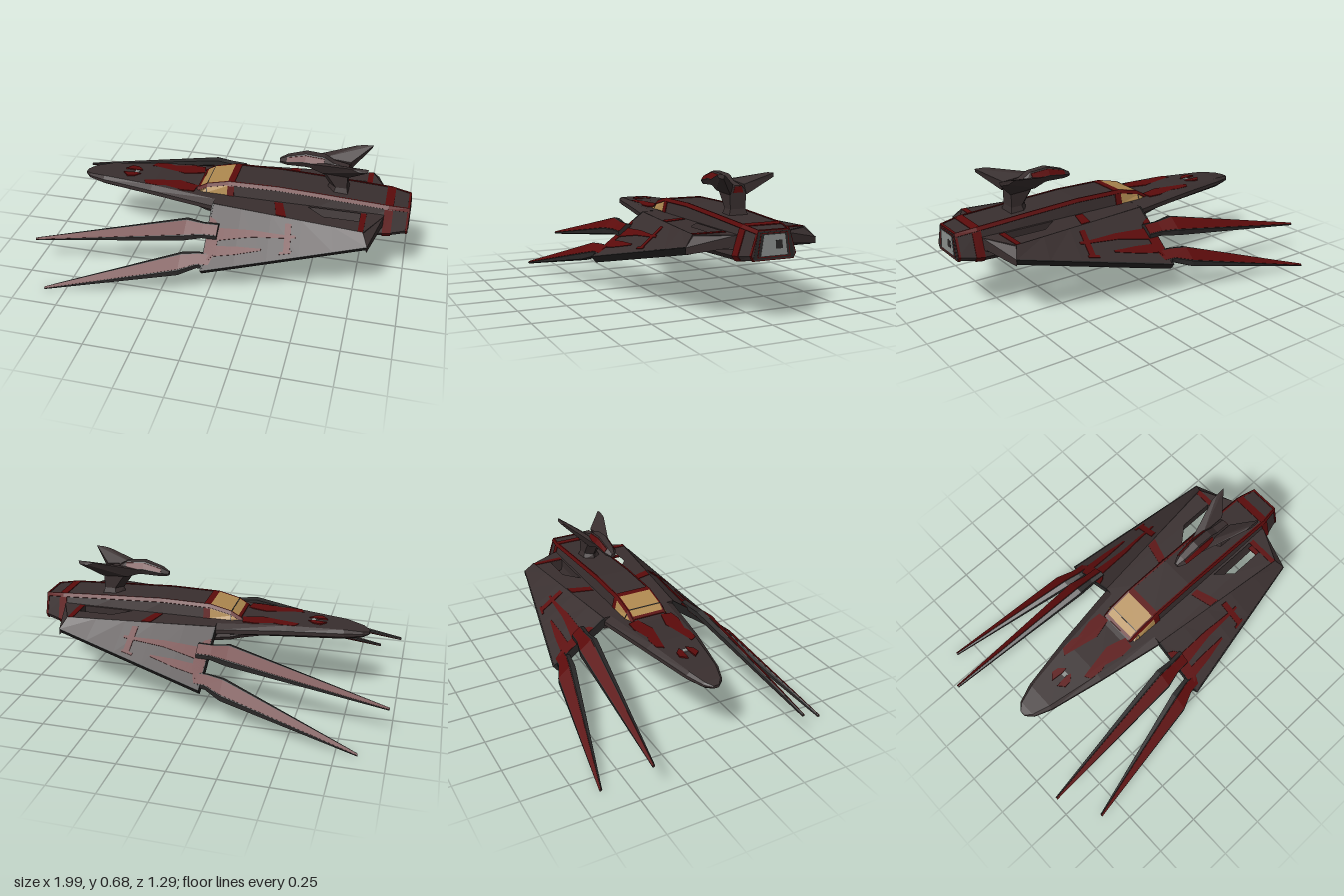
import * as THREE from 'three';

const material = (name, color) => {
  const m = new THREE.MeshStandardMaterial({ color });
  m.name = name;
  return m;
};
const lerp = (a, b, t) => a + (b - a) * t;

export function createModel() {
  const grey = material('hull brown grey', 0x392f2f);
  const dark = material('edge charcoal', 0x2a2828);
  const red = material('dark red paint', 0x5c0b0b);
  const amber = material('amber glass', 0xb08a50);
  const silver = material('engine silver', 0x8c908e);
  const ship = new THREE.Group();
  ship.name = 'ship';

  // Flat-shaded solid lofted through rings of [x, y, z], capped, turned outward
  function solid(name, mat, rings, parent = ship) {
    const tris = [], n = rings[0].length;
    for (let i = 0; i + 1 < rings.length; i++)
      for (let j = 0; j < n; j++) {
        const k = (j + 1) % n, a = rings[i], b = rings[i + 1];
        tris.push([a[j], a[k], b[k]], [a[j], b[k], b[j]]);
      }
    const first = rings[0], last = rings[rings.length - 1];
    for (let j = 1; j + 1 < n; j++)
      tris.push([first[0], first[j + 1], first[j]], [last[0], last[j], last[j + 1]]);
    let volume = 0;
    const origin = new THREE.Vector3(...first[0]);
    for (const t of tris) {
      const [a, b, c] = t.map((p) => new THREE.Vector3(...p).sub(origin));
      volume += a.dot(b.cross(c));
    }
    if (volume < 0) tris.forEach((t) => t.reverse());
    const g = new THREE.BufferGeometry();
    g.setAttribute('position', new THREE.Float32BufferAttribute(tris.flat(2), 3));
    g.computeVertexNormals();
    const mesh = new THREE.Mesh(g, mat);
    mesh.name = name;
    parent.add(mesh);
  }

  // Horizontal plate from [x, z] corners between two heights
  const plate = (name, mat, pts, y0, y1, parent) =>
    solid(name, mat, [y0, y1].map((y) => pts.map(([x, z]) => [x, y, z])), parent);

  // Ring symmetric in z from [y, z] points on one side
  const mirrored = (x, half) => [
    ...half.map(([y, z]) => [x, y, z]),
    ...half.slice().reverse().map(([y, z]) => [x, y, -z]),
  ];

  // Flat nose: [x, bottom, top, half width]
  const nose = [
    [-0.83, 0.37, 0.385, 0.018], [-0.795, 0.362, 0.395, 0.055], [-0.7, 0.355, 0.409, 0.092],
    [-0.4, 0.353, 0.42, 0.153], [-0.03, 0.345, 0.413, 0.215],
  ];
  solid('nose', grey, nose.map(([x, b, t, w]) =>
    mirrored(x, [[b, w * 0.75], [lerp(b, t, 0.35), w], [lerp(b, t, 0.7), w], [t, w * 0.8]])));

  // Wing root deck with two openings
  const deckHalf = [[-0.03, 0.215], [0.78, 0.305], [0.87, 0.13]];
  const toV = ([x, z]) => new THREE.Vector2(x, z);
  const flip = ([x, z]) => [x, -z];
  const shape = new THREE.Shape([...deckHalf, ...deckHalf.slice().reverse().map(flip)].map(toV));
  const opening = [[0.47, 0.13], [0.56, 0.205], [0.75, 0.205], [0.75, 0.13]];
  shape.holes.push(new THREE.Path(opening.map(toV)), new THREE.Path(opening.map(flip).map(toV)));
  const deckGeo = new THREE.ExtrudeGeometry(shape, { depth: 0.067, bevelEnabled: false });
  deckGeo.rotateX(Math.PI / 2).translate(0, 0.412, 0);
  const deck = new THREE.Mesh(deckGeo, grey);
  deck.name = 'wingDeck';
  ship.add(deck);

  // Central hull: [x, bottom, top, bottom half width, top half width]
  const hull = [
    [-0.35, 0.352, 0.39, 0.1, 0.08], [-0.15, 0.315, 0.42, 0.125, 0.103], [-0.09, 0.3, 0.455, 0.135, 0.105],
    [0.03, 0.283, 0.484, 0.142, 0.106], [0.3, 0.272, 0.488, 0.145, 0.106], [0.6, 0.283, 0.474, 0.145, 0.106],
    [0.89, 0.295, 0.459, 0.145, 0.106], [1, 0.312, 0.445, 0.115, 0.085],
  ];
  function hullAt(x) {
    let i = 0;
    while (i < hull.length - 2 && hull[i + 1][0] < x) i++;
    const t = (x - hull[i][0]) / (hull[i + 1][0] - hull[i][0]);
    return hull[i].map((v, k) => lerp(v, hull[i + 1][k], t));
  }
  const hullRing = ([x, b, t, wb, wt], e = 0) => mirrored(x, [
    [b - e, wb * 0.9 + e * 0.5], [b + 0.022, wb + e], [t - 0.018, wt + e], [t + e, wt * 0.88 + e * 0.5]]);
  solid('hull', grey, hull.map((s) => hullRing(s)));
  const band = (name, a, b) => solid(name, red, [a, b].map((x) => hullRing(hullAt(x), 0.004)));
  band('tailBand', 0.87, 0.915);
  band('tailRim', 0.988, 1);
  band('cockpitRearBand', 0.025, 0.062);

  // Amber canopy covers the upper hull, with frames
  const canopyRing = (x, e) => {
    const [, , t, , wt] = hullAt(x), low = Math.min(0.415, t - 0.02);
    return mirrored(x, [[low, wt + 0.012 + e], [t - 0.018, wt + e], [t + e, wt * 0.88 + e * 0.5]]);
  };
  solid('canopy', amber, [-0.13, -0.09, 0.025].map((x) => canopyRing(x, 0.004)));
  solid('canopyFrame', dark, [-0.093, -0.089].map((x) => canopyRing(x, 0.006)));
  solid('canopyFrontFrame', red, [-0.145, -0.13].map((x) => canopyRing(x, 0.005)));

  // Engine outlet: dark surround, red inner frame, silver glow with a dark recess
  const rear = (name, mat, x, y0, y1, z0, z1) =>
    solid(name, mat, [x - 0.002, x].map((v) => mirrored(v, [[y0, z0], [y1, z1]])));
  rear('outletSurround', dark, 1.001, 0.316, 0.442, 0.108, 0.084);
  rear('outletFrame', red, 1.002, 0.322, 0.436, 0.088, 0.072);
  rear('outletRecess', dark, 1.003, 0.326, 0.432, 0.084, 0.068);
  rear('outletGlow', silver, 1.004, 0.33, 0.427, 0.07, 0.055);
  solid('outletShade', dark, [1.003, 1.005].map((x) =>
    [[x, 0.36, -0.008], [x, 0.36, -0.045], [x, 0.4, -0.04], [x, 0.4, -0.008]]));

  // Nose marking
  plate('noseMark', silver, [[-0.54, -0.012], [-0.515, -0.012], [-0.515, 0.012], [-0.54, 0.012]], 0.412, 0.42);

  // Tail pylon and pod
  solid('pylon', grey, [[0.46, 0.55, 0.67, 0.055], [0.5, 0.56, 0.66, 0.042], [0.585, 0.5, 0.66, 0.045]].map(
    ([y, x0, x1, w]) => [[x0, y, 0], [x0 + 0.04, y, w], [x1, y, w], [x1, y, -w], [x0 + 0.04, y, -w]]));
  const pod = [
    [0.29, 0.594, 0.615, 0.015], [0.33, 0.592, 0.638, 0.035], [0.43, 0.597, 0.668, 0.045],
    [0.53, 0.59, 0.66, 0.045], [0.58, 0.58, 0.63, 0.045], [0.66, 0.575, 0.615, 0.04],
  ];
  const podRing = ([x, b, t, w]) => mirrored(x, [[b, w * 0.7], [lerp(b, t, 0.45), w], [t, w * 0.45]]);
  solid('tailPod', grey, pod.map(podRing));
  rear('tailPodRearPaint', red, 0.663, 0.58, 0.611, 0.028, 0.018);

  // Wing surface: u runs from hinge to outer edge, v from front to back
  const [A, B, C, D] = [[-0.03, 0.41, 0.215], [0.78, 0.415, 0.305], [0.81, 0.36, 0.355], [-0.02, 0.185, 0.52]];
  const N = [0, 0.78, 0.63], W = [0, -0.63, 0.78];
  const wingPoint = (u, v, t) =>
    A.map((_, k) => lerp(lerp(A[k], B[k], v), lerp(D[k], C[k], v), u) + N[k] * t);

  // Blades: root, shoulder and tip as [x, y, z, half width, half thickness]
  const blades = [
    [[0.03, 0.325, 0.345, 0.045, 0.018], [-0.05, 0.325, 0.35, 0.045, 0.02], [-0.14, 0.325, 0.36, 0.064, 0.024],
      [-0.985, 0.165, 0.425, 0.008, 0.005]],
    [[0.03, 0.21, 0.455, 0.045, 0.018], [-0.05, 0.21, 0.462, 0.045, 0.02], [-0.14, 0.192, 0.49, 0.064, 0.024],
      [-0.86, 0.01, 0.638, 0.008, 0.005]],
  ];

  for (const s of [1, -1]) {
    const side = new THREE.Group();
    side.name = s > 0 ? 'leftWing' : 'rightWing';
    ship.add(side);
    const add = (name, mat, rings) =>
      solid(name, mat, rings.map((r) => r.map(([x, y, z]) => [x, y, z * s])), side);

    // Slab following the wing, rows of [v, u0, u1]
    function slab(name, mat, rows, t0, t1) {
      const fine = [];
      rows.forEach((r, i) => {
        const next = rows[i + 1];
        for (let k = 0; k < (next ? 5 : 1); k++) fine.push(next ? r.map((q, j) => lerp(q, next[j], k / 5)) : r);
      });
      add(name, mat, fine.map(([v, a, b]) =>
        [wingPoint(a, v, t0), wingPoint(b, v, t0), wingPoint(b, v, t1), wingPoint(a, v, t1)]));
    }
    slab('wingPanel', grey, [[0, 0, 1], [1, 0, 1]], 0, -0.04);
    slab('wingLeadingEdge', dark, [[-0.005, 0, 1], [0.006, 0, 1]], 0.002, -0.042);
    slab('wingOuterEdge', dark, [[0, 0.985, 1.004], [1, 0.96, 1.01]], 0.002, -0.042);

    // Brace closing the wing to the hull behind
    add('wingBrace', grey, [0, -0.055].map((d) =>
      [[0.775, 0.412 + d, 0.3], [0.81, 0.36 + d * 0.6, 0.355], [0.87, 0.41 + d, 0.13]]));

    // Painted wing markings on both faces
    const marks = {
      frontPatch: [[0, 0.2, 0.85], [0.04, 0.24, 0.85], [0.075, 0.35, 0.72]],
      innerStripe: [[0.06, 0.36, 0.56], [0.3, 0.36, 0.49], [0.49, 0.42, 0.5], [0.57, 0.43, 0.5]],
      outerStripe: [[0.06, 0.64, 0.8], [0.2, 0.66, 0.8], [0.36, 0.72, 0.76]],
      crossBar: [[0.5, 0.14, 0.88], [0.54, 0.14, 0.88]],
      crossFoot: [[0.475, 0.82, 0.88], [0.55, 0.82, 0.88]],
    };
    for (const [name, rows] of Object.entries(marks)) {
      slab(name, red, rows, 0.003, -0.002);
      slab(name + 'Under', red, rows, -0.038, -0.043);
    }

    // Blades with a painted plate on each face
    for (const blade of blades) {
      const at = ([x, y, z], a, b) => [x, y + W[1] * a + N[1] * b, z + W[2] * a + N[2] * b];
      add('blade', dark, blade.map((p) => {
        const w = p[3], t = p[4];
        return [at(p, w, 0), at(p, w * 0.72, t), at(p, -w * 0.72, t), at(p, -w, 0), at(p, -w * 0.72, -t), at(p, w * 0.72, -t)];
      }));
      for (const f of [1, -1])
        add('bladePaint', red, blade.map((p) => {
          const w = p[3] * 0.62, t0 = f * (p[4] - 0.002), t1 = f * (p[4] + 0.002);
          return [at(p, w, t0), at(p, w, t1), at(p, -w, t1), at(p, -w, t0)];
        }));
    }

    // Deck stripes above and below
    const stripes = [
      [[0.29, 0.13], [0.335, 0.13], [0.375, 0.255], [0.32, 0.25]],
      [[0.752, 0.13], [0.782, 0.13], [0.78, 0.304], [0.752, 0.3]],
    ];
    for (const pts of stripes)
      for (const y of [0.412, 0.345])
        plate('deckStripe', red, pts.map(([x, z]) => [x, z * s]), y - 0.003, y + 0.003, side);

    // Nose paint patches
    const patches = [
      [[-0.46, 0.08], [-0.44, 0.115], [-0.37, 0.12], [-0.3, 0.1], [-0.23, 0.135], [-0.16, 0.13], [-0.15, 0.07], [-0.26, 0.04], [-0.36, 0.07]],
      [[-0.6, 0.02], [-0.57, 0.055], [-0.53, 0.05], [-0.5, 0.02], [-0.53, 0.014]],
    ];
    for (const pts of patches)
      plate('nosePatch', red, pts.map(([x, z]) => [x, z * s]), 0.412, 0.421, side);

    // Red trim along the upper hull edge, canopy included
    add('hullTrim', red, hull.slice(1).map(([x, , t, , w]) =>
      [[x, t - 0.013, w + 0.005], [x, t + 0.005, w * 0.88 + 0.007], [x, t + 0.004, w * 0.88 - 0.001], [x, t - 0.019, w - 0.003]]));

    // Pod side paint
    add('tailPodPaint', red, pod.slice(1, 4).map(([x, b, t, w]) => {
      const y0 = lerp(b, t, 0.5), y1 = lerp(b, t, 0.9), z0 = w * 0.95, z1 = w * 0.55;
      return [[x, y0, z0 + 0.003], [x, y1, z1 + 0.003], [x, y1, z1 - 0.003], [x, y0, z0 - 0.003]];
    }));

    // Swept tail fin
    add('tailFin', grey, [
      [[0.4, 0.615, 0.03], [0.52, 0.632, 0.03], [0.665, 0.62, 0.03], [0.665, 0.57, 0.045], [0.52, 0.578, 0.045]],
      [[0.68, 0.672, 0.128], [0.72, 0.68, 0.13], [0.77, 0.681, 0.132], [0.765, 0.662, 0.136], [0.72, 0.66, 0.135]],
    ]);
  }
  return ship;
}
